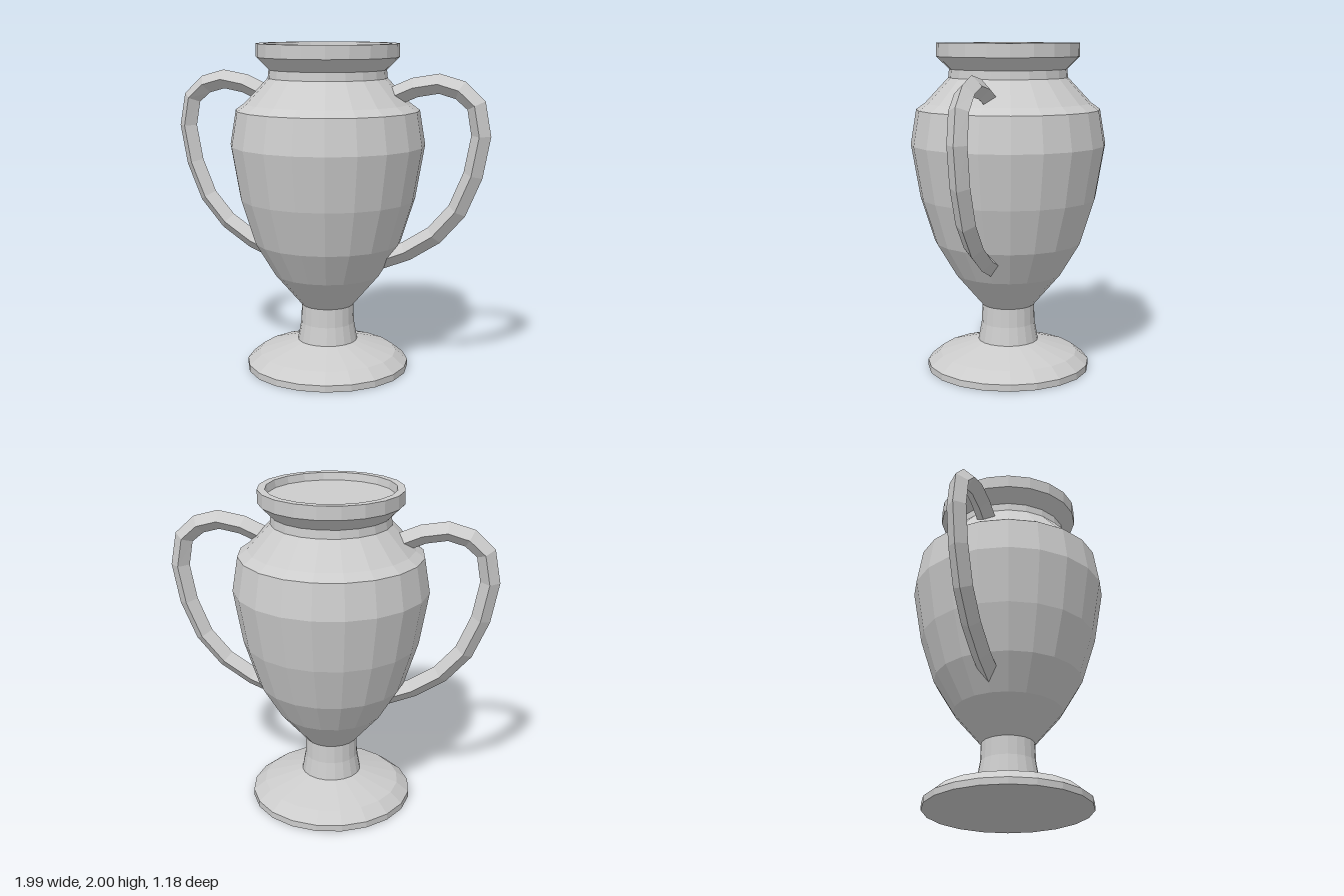
import * as THREE from 'three';

const SIDES = 20;
const material = new THREE.MeshStandardMaterial({ color: 0xcccccc, flatShading: true });

// Turned part from [radius, height] pairs, listed from bottom to top
function turned(name, profile) {
  const points = profile.map(([r, y]) => new THREE.Vector2(r, y));
  const mesh = new THREE.Mesh(new THREE.LatheGeometry(points, SIDES), material);
  mesh.name = name;
  return mesh;
}

// Bar of diamond section swept along a path in the xy plane
function diamondBar(path, radius) {
  const pts = path.map(([x, y]) => new THREE.Vector3(x, y, 0));
  const last = pts.length - 1;
  const positions = [];
  const index = [];
  pts.forEach((p, i) => {
    const tangent = pts[Math.min(i + 1, last)].clone().sub(pts[Math.max(i - 1, 0)]).normalize();
    for (let k = 0; k < 4; k++) {
      const a = (k * Math.PI) / 2;
      const c = Math.cos(a) * radius;
      positions.push(p.x - tangent.y * c, p.y + tangent.x * c, Math.sin(a) * radius);
      if (i < last) {
        const p0 = i * 4 + k;
        const p1 = i * 4 + ((k + 1) % 4);
        index.push(p0, p1, p1 + 4, p0, p1 + 4, p0 + 4);
      }
    }
  });
  // End caps
  const e = last * 4;
  index.push(0, 2, 1, 0, 3, 2, e, e + 1, e + 2, e, e + 2, e + 3);
  const geometry = new THREE.BufferGeometry();
  geometry.setAttribute('position', new THREE.Float32BufferAttribute(positions, 3));
  geometry.setIndex(index);
  const flat = geometry.toNonIndexed();
  flat.computeVertexNormals();
  return flat;
}

export function createModel() {
  const model = new THREE.Group();
  model.name = 'urn';

  // Foot with its closed underside
  model.add(turned('foot', [[0, 0], [0.5, 0], [0.5, 0.04], [0.425, 0.1], [0.185, 0.175]]));
  model.add(turned('stem', [[0.185, 0.175], [0.165, 0.285], [0.16, 0.4]]));

  // Belly and shoulder
  model.add(turned('body', [
    [0.16, 0.4], [0.33, 0.6], [0.45, 0.8], [0.535, 1.07],
    [0.59, 1.395], [0.555, 1.605], [0.5, 1.645], [0.36, 1.795],
  ]));
  model.add(turned('neck', [[0.36, 1.795], [0.355, 1.845]]));

  // Flared rim with a shallow recessed top
  model.add(turned('rim', [
    [0.355, 1.845], [0.43, 1.92], [0.43, 2], [0.385, 2], [0.375, 1.955], [0, 1.955],
  ]));

  // Handles, the second turned half round
  const handle = diamondBar([
    [0.38, 1.68], [0.54, 1.75], [0.685, 1.775], [0.81, 1.74], [0.905, 1.655], [0.937, 1.48],
    [0.895, 1.25], [0.805, 1.035], [0.67, 0.88], [0.5, 0.77], [0.34, 0.705],
  ], 0.058);
  ['leftHandle', 'rightHandle'].forEach((name, i) => {
    const mesh = new THREE.Mesh(handle, material);
    mesh.name = name;
    mesh.rotation.y = i * Math.PI;
    model.add(mesh);
  });

  return model;
}
